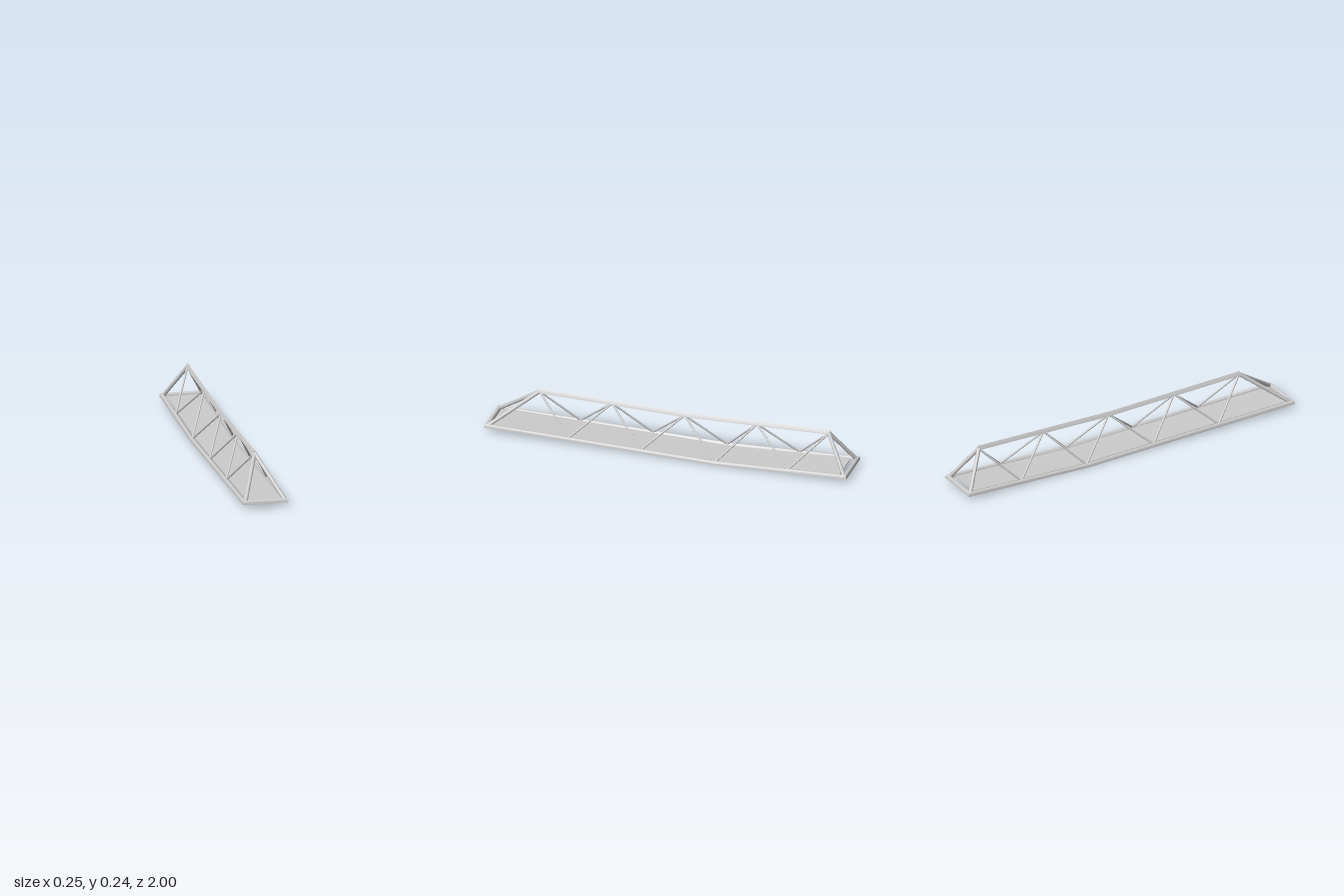
import * as THREE from 'three';
import { toCreasedNormals } from 'three/addons/utils/BufferGeometryUtils.js';

const material = new THREE.MeshStandardMaterial({ color: 0xcccccc });
const V = (x, y, z) => new THREE.Vector3(x, y, z);

// Sweep an upright convex profile (counter-clockwise) along a path, mitred in plan
function sweep(path, profile, closed = false) {
  const n = path.length, m = profile.length, pos = [], idx = [];
  const rightOf = (a, b) => V(a.z - b.z, 0, b.x - a.x).normalize();
  path.forEach((p, i) => {
    const prev = path[i - 1] ?? (closed ? path[n - 1] : null);
    const next = path[i + 1] ?? (closed ? path[0] : null);
    const r1 = rightOf(prev ?? p, prev ? p : next);
    const r2 = rightOf(next ? p : prev, next ?? p);
    const mitre = r1.clone().add(r2).divideScalar(1 + r1.dot(r2));
    for (const [u, v] of profile) pos.push(p.x + mitre.x * u, p.y + v, p.z + mitre.z * u);
  });
  for (let i = 0; i < (closed ? n : n - 1); i++) {
    for (let j = 0; j < m; j++) {
      const k = (j + 1) % m, s = i * m, e = ((i + 1) % n) * m;
      idx.push(s + j, e + j, s + k, s + k, e + j, e + k);
    }
  }
  if (!closed) {
    const e = (n - 1) * m;
    for (let j = 1; j < m - 1; j++) idx.push(0, j, j + 1, e, e + j + 1, e + j);
  }
  const geo = new THREE.BufferGeometry();
  geo.setAttribute('position', new THREE.Float32BufferAttribute(pos, 3));
  geo.setIndex(idx);
  return toCreasedNormals(geo, 0.6);
}

// Round bar between two points
function bar(a, b, radius) {
  const dir = b.clone().sub(a);
  const mesh = new THREE.Mesh(new THREE.CylinderGeometry(radius, radius, dir.length(), 12), material);
  mesh.position.copy(a).add(b).multiplyScalar(0.5);
  mesh.quaternion.setFromUnitVectors(V(0, 1, 0), dir.normalize());
  return mesh;
}

export function createModel() {
  const group = new THREE.Group();
  const add = (name, mesh) => { mesh.name = name; group.add(mesh); };

  const X = 0.112, END = 0.988, LOW_Z = -0.27, END_Y = 0.027;
  const baseY = z => END_Y * (z > LOW_Z ? (z - LOW_Z) / (END - LOW_Z) : (LOW_Z - z) / (END + LOW_Z));
  const topY = z => 0.211 + 0.019 * Math.abs(z + 0.07) / 0.8;

  // Bottom frame: flat-bottomed, domed rail around the whole deck
  const dome = [[-0.0115, 0], [0.0115, 0]];
  for (let i = 0; i <= 12; i++) {
    const a = Math.PI * i / 12;
    dome.push([0.0115 * Math.cos(a), 0.004 + 0.0165 * Math.sin(a)]);
  }
  const loop = [V(X, END_Y, END), V(X, 0, LOW_Z), V(X, END_Y, -END),
    V(-X, END_Y, -END), V(-X, 0, LOW_Z), V(-X, END_Y, END)];
  add('bottomFrame', new THREE.Mesh(sweep(loop, dome, true), material));

  // Deck plate, bent like the frame
  const deckPath = [0.965, LOW_Z, -0.955].map(z => V(0, baseY(z) + 0.008, z));
  const plate = [[-0.094, 0], [0.094, 0], [0.094, 0.005], [-0.094, 0.005]];
  add('deck', new THREE.Mesh(sweep(deckPath, plate), material));

  // Top chord with a ridge-shaped section
  const ridge = [[-0.0115, -0.011], [0.0115, -0.011], [0.009, -0.003], [0, 0.0115], [-0.009, -0.003]];
  const topPath = [0.735, -0.07, -0.872].map(z => V(0, topY(z), z));
  add('topChord', new THREE.Mesh(sweep(topPath, ridge), material));

  const topNodes = [0.73, 0.33, -0.07, -0.47, -0.87];
  const bottomNodes = [0.54, 0.14, -0.27, -0.67];
  for (const side of [1, -1]) {
    const name = side > 0 ? 'left' : 'right';
    // Sloping end posts
    add(name + 'FrontPost', bar(V(0, 0.225, 0.73), V(side * 0.107, 0.036, 0.983), 0.0105));
    add(name + 'BackPost', bar(V(0, 0.225, -0.865), V(side * 0.107, 0.036, -0.983), 0.0105));
    // Zigzag side braces
    bottomNodes.forEach((z, i) => {
      const foot = V(side * 0.11, baseY(z) + 0.012, z);
      for (const t of [topNodes[i], topNodes[i + 1]]) {
        add(name + 'Brace', bar(V(0, topY(t) - 0.006, t), foot, 0.0052));
      }
    });
  }
  return group;
}
